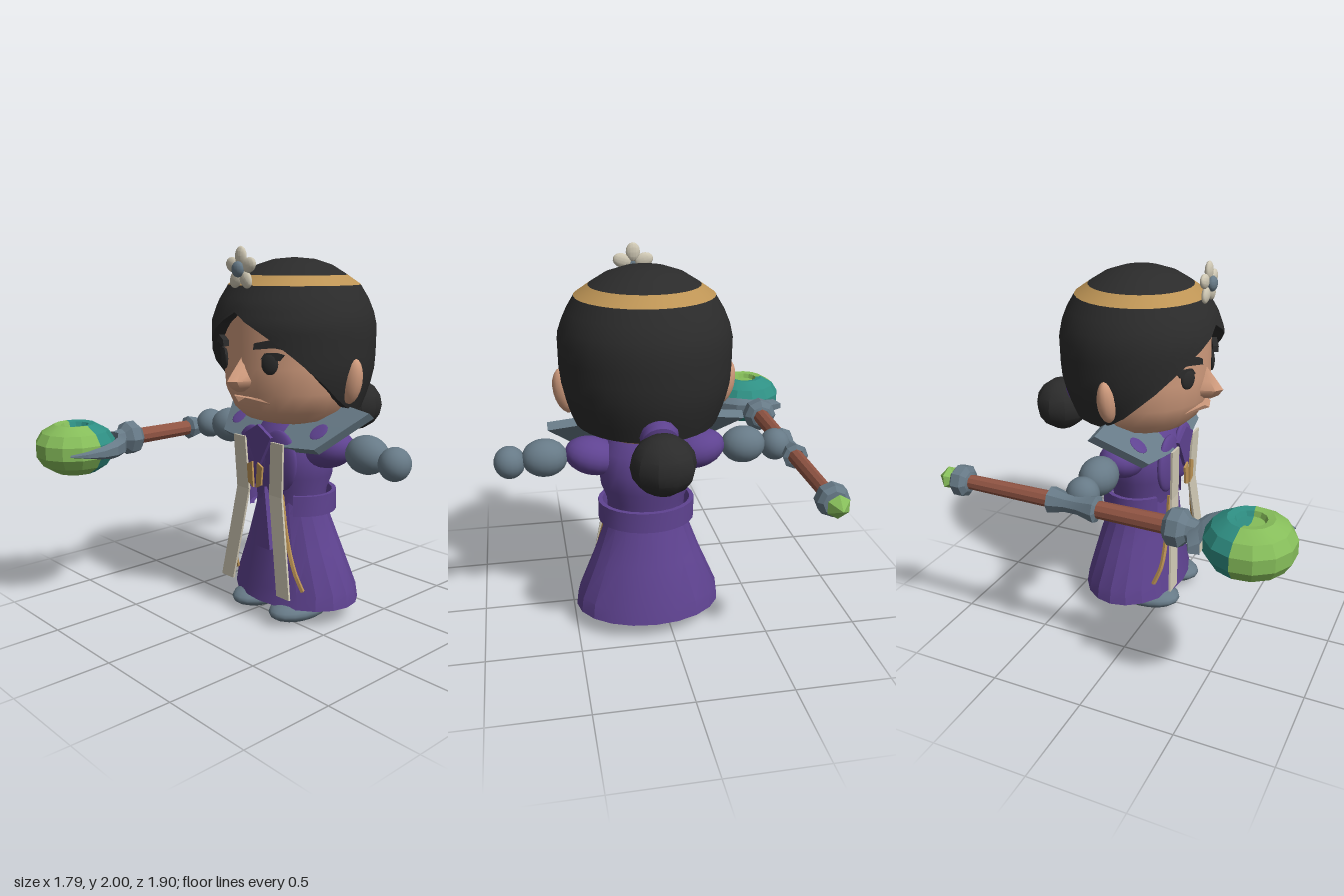
import * as THREE from 'three';
import { toCreasedNormals } from 'three/addons/utils/BufferGeometryUtils.js';
import { ConvexGeometry } from 'three/addons/geometries/ConvexGeometry.js';

const colours = {
  skin: 0xd09b7d, black: 0x2b2b2b, gold: 0xbd9455, purple: 0x5f4391, steel: 0x677a87,
  cream: 0xd0c9b5, green: 0x86bd5a, teal: 0x2f9084, wood: 0x905443,
};
const V = (x, y, z) => new THREE.Vector3(x, y, z);

// Surface through a list of point rings
function loft(rings, closed = true) {
  const n = rings[0].length, index = [];
  const pos = rings.flat().flatMap((p) => [p.x, p.y, p.z]);
  for (let i = 0; i < rings.length - 1; i++) {
    for (let j = 0; j < (closed ? n : n - 1); j++) {
      const k = (j + 1) % n, a = i * n, b = a + n;
      index.push(a + j, a + k, b + k, a + j, b + k, b + j);
    }
  }
  const g = new THREE.BufferGeometry();
  g.setAttribute('position', new THREE.Float32BufferAttribute(pos, 3));
  g.setIndex(index);
  return g;
}

// Elliptical rings from rows of [y, rx, rz, zCentre]
function ellipses(rows, seg = 24, from = 0, to = Math.PI * 2) {
  const full = to - from > 6.28, n = full ? seg : seg + 1;
  return loft(rows.map(([y, rx, rz, zc]) => Array.from({ length: n }, (_, j) => {
    const a = from + (to - from) * j / seg;
    return V(rx * Math.sin(a), y, zc + rz * Math.cos(a));
  })), full);
}

// Linear interpolation in a table of [key, value]
function lookup(table, k) {
  for (let i = 1; i < table.length; i++) {
    const [k0, v0] = table[i - 1], [k1, v1] = table[i];
    if (k <= k1) return v0 + (v1 - v0) * Math.max(0, (k - k0) / (k1 - k0));
  }
  return table[table.length - 1][1];
}

export function createModel() {
  const mats = {};
  for (const [name, color] of Object.entries(colours)) {
    mats[name] = new THREE.MeshStandardMaterial({ color, side: THREE.DoubleSide });
    mats[name].name = name;
  }
  const root = new THREE.Group();
  root.name = 'staffBearer';
  const body = new THREE.Group();
  body.name = 'body';
  body.position.x = 0.1;
  root.add(body);

  const add = (parent, name, mat, geo, crease = 0.6) => {
    const m = new THREE.Mesh(toCreasedNormals(geo, crease), mats[mat]);
    m.name = name;
    parent.add(m);
    return m;
  };
  const ball = (name, mat, p, r, w = 18, h = 12, parent = body) => {
    const m = add(parent, name, mat, new THREE.SphereGeometry(1, w, h));
    m.position.set(...p);
    m.scale.set(...r);
    return m;
  };
  // Convex slab: points plus the same points shifted
  const slab = (name, mat, pts, off) => {
    const p = pts.map((q) => V(...q));
    return add(body, name, mat, new ConvexGeometry([...p, ...p.map((q) => q.clone().add(V(...off)))]), 0.3);
  };
  const flat = (pts) => new THREE.Shape(pts.map(([x, y]) => new THREE.Vector2(x, y)));
  const plate = (name, mat, pts, depth) =>
    add(body, name, mat, new THREE.ExtrudeGeometry(flat(pts), { depth, bevelEnabled: false }), 0.3);

  // Head
  const HZ = -0.16;
  const headR = [[1.09, 0.18], [1.115, 0.26], [1.17, 0.32], [1.27, 0.365], [1.4, 0.375], [1.72, 0.375]];
  add(body, 'head', 'skin', ellipses([[1.085, 0, 0, HZ], ...headR.map(([y, r]) => [y, r, r, HZ])]));

  // Hair: lower edge sweeps from a centre peak down to the nape
  const hairR = [[1.16, 0.365], [1.28, 0.41], [1.4, 0.437], [1.62, 0.44], [1.72, 0.405], [1.81, 0.35]];
  const hairEdge = [[0, 1.68], [0.47, 1.57], [0.75, 1.48], [1.05, 1.37], [1.4, 1.24], [1.7, 1.17], [3.15, 1.16]];
  const hairRows = [];
  for (let i = -1; i <= 9; i++) {
    hairRows.push(Array.from({ length: 32 }, (_, j) => {
      const a = j * Math.PI / 16, e = lookup(hairEdge, Math.min(a, 2 * Math.PI - a));
      const y = e + (1.81 - e) * Math.max(i, 0) / 9;
      const r = i < 0 ? lookup(headR, y) - 0.02 : lookup(hairR, y);
      return V(r * Math.sin(a), y, HZ + r * Math.cos(a));
    }));
  }
  add(body, 'hair', 'black', loft(hairRows));
  add(body, 'headband', 'gold', ellipses([[1.81, 0.352, 0.352, HZ], [1.86, 0.28, 0.28, HZ]], 32));
  add(body, 'crown', 'black', ellipses([[1.86, 0.28], [1.91, 0.2], [1.94, 0.11], [1.95, 0]].map(([y, r]) => [y, r, r, HZ]), 32));

  // Bun and its tie
  const tie = add(body, 'bunTie', 'purple', new THREE.TorusGeometry(0.06, 0.035, 8, 14));
  tie.position.set(0, 1.21, -0.56);
  tie.rotation.x = -0.5;
  ball('bun', 'black', [0, 1.11, -0.67], [0.16, 0.15, 0.15], 10, 8);

  // Flower
  for (let i = 0; i < 5; i++) {
    const a = Math.PI / 2 + i * Math.PI * 0.4;
    const petal = ball('petal', 'cream', [0.062 * Math.cos(a), 1.892 + 0.062 * Math.sin(a), 0.215], [0.05, 0.038, 0.02], 12, 8);
    petal.rotation.z = a;
  }
  ball('flowerCentre', 'steel', [0, 1.89, 0.235], [0.04, 0.04, 0.025], 12, 8);

  // Nose and mouth
  add(body, 'nose', 'skin', loft([
    [1.275, 0.01, 0.24], [1.3, 0.055, 0.285], [1.335, 0.07, 0.31], [1.38, 0.045, 0.275], [1.45, 0.018, 0.215],
  ].map(([y, w, z]) => [V(-w, y, 0.17), V(-w * 0.6, y, z - 0.03), V(0, y, z), V(w * 0.6, y, z - 0.03), V(w, y, 0.17)]), false), 0.9);
  slab('mouth', 'skin', [[-0.17, 1.215, 0.13], [-0.15, 1.24, 0.14], [-0.04, 1.25, 0.225], [0.04, 1.25, 0.225],
    [0.15, 1.24, 0.14], [0.17, 1.215, 0.13], [0, 1.225, 0.235]], [0, 0, -0.04]);

  for (const s of [1, -1]) {
    // Face details
    const eye = ball('eye', 'black', [s * 0.172, 1.43, 0.178], [0.045, 0.056, 0.016], 16, 10);
    eye.rotation.y = s * 0.47;
    const lash = plate('eyelash', 'black', [[-0.05 * s, 0], [-0.03 * s, 0.03], [0.03 * s, 0.035], [0.075 * s, 0.025], [0.05 * s, -0.005]], 0.012);
    lash.position.set(s * 0.174, 1.452, 0.173);
    lash.rotation.y = s * 0.47;
    const brow = plate('eyebrow', 'black', [[-0.09 * s, -0.012], [-0.085 * s, 0.02], [0.02 * s, 0.042], [0.075 * s, 0.03], [0.1 * s, -0.012], [0.02 * s, 0]], 0.03);
    brow.position.set(s * 0.18, 1.512, 0.17);
    brow.rotation.y = s * 0.47;
    const ear = ball('ear', 'skin', [s * 0.41, 1.335, -0.165], [0.06, 0.12, 0.05], 14, 10);
    ear.rotation.z = -s * 0.2;

    // Arms
    const sleeve = ball('sleeve', 'purple', [s * 0.28, 0.965, -0.15], [0.15, 0.1, 0.12]);
    sleeve.rotation.z = s * 0.25;
    ball('forearm', 'steel', [s * 0.53, 0.975, -0.16], [0.12, 0.1, 0.1]);
    ball('hand', 'steel', [s * 0.71, 0.96, -0.155], [0.082, 0.086, 0.086]);

    // Legs and feet
    ball('leg', 'steel', [s * 0.15, 0.19, -0.17], [0.11, 0.14, 0.11]);
    ball('foot', 'steel', [s * 0.15, 0.067, -0.075], [0.127, 0.064, 0.205]);

    // Collar wing with a round spot
    slab('collarWing', 'steel', [[s * 0.1, 0.985, 0.085], [s * 0.35, 1.0, 0.04], [s * 0.51, 1.18, -0.19],
      [s * 0.3, 1.205, -0.2], [s * 0.1, 1.1, -0.05]], [0, -0.03, -0.04]);
    const spot = ball('collarSpot', 'purple', [s * 0.3, 1.075, -0.044], [0.053, 0.055, 0.006], 16, 8);
    spot.rotation.x = -0.89;

    // Robe front, cream stole and gold trim behind it
    ball('lapel', 'purple', [s * 0.1, 0.9, 0.04], [0.13, 0.165, 0.035]);
    const rows = [[0.1, 0.19, 1.01, 0.105], [0.08, 0.175, 0.72, 0.095], [0.175, 0.27, 0.19, 0.13]];
    for (let i = 0; i < 2; i++) {
      const [a, b, y, z] = rows[i], [c, d, y2, z2] = rows[i + 1];
      slab('stole', 'cream', [[s * a, y, z], [s * b, y, z], [s * d, y2, z2], [s * c, y2, z2]], [0, 0, -0.012]);
    }
    const trim = new THREE.CatmullRomCurve3([V(s * 0.15, 0.73, 0.07), V(s * 0.19, 0.5, 0.07), V(s * 0.24, 0.32, 0.06), V(s * 0.26, 0.21, 0.02)]);
    add(body, 'robeTrim', 'gold', new THREE.TubeGeometry(trim, 10, 0.013, 5));
    const tassel = plate('tassel', 'gold', [[-0.015 * s, 0.07], [0.025 * s, 0.05], [0.015 * s, -0.05], [-0.025 * s, -0.07]], 0.012);
    tassel.position.set(s * 0.035, 0.82, 0.115);
  }

  // Robe
  add(body, 'torso', 'purple', ellipses([[0.55, 0.2, 0.16, -0.15], [0.72, 0.21, 0.18, -0.15], [0.8, 0.24, 0.21, -0.15],
    [0.9, 0.25, 0.22, -0.15], [1.0, 0.23, 0.2, -0.15], [1.07, 0.17, 0.16, -0.15], [1.12, 0.12, 0.12, -0.15]]));
  add(body, 'skirt', 'purple', ellipses([[0.1, 0.395, 0.285, -0.19], [0.18, 0.385, 0.27, -0.19], [0.4, 0.29, 0.225, -0.175],
    [0.6, 0.215, 0.18, -0.155], [0.7, 0.2, 0.17, -0.15]], 20), 0.3);
  add(body, 'belt', 'purple', ellipses([[0.6, 0.235, 0.195, -0.16], [0.6, 0.258, 0.22, -0.16],
    [0.71, 0.258, 0.22, -0.16], [0.71, 0.235, 0.195, -0.16]], 20, 0.72, Math.PI * 2 - 0.72), 0.5);
  slab('frontPleat', 'purple', [[0, 0.74, 0.055], [-0.06, 0.4, 0.07], [0.06, 0.4, 0.07]], [0, 0, -0.04]);
  const kite = plate('neckFold', 'purple', [[0, 1.09], [-0.1, 1.03], [0, 0.85], [0.1, 1.03]], 0.02);
  kite.position.z = 0.085;

  // Staff, lying along z
  const staff = new THREE.Group();
  staff.name = 'staff';
  staff.position.set(-0.685, 0.935, 0);
  root.add(staff);
  const turned = (name, mat, pts, seg = 8) => add(staff, name, mat,
    new THREE.LatheGeometry(pts.map(([r, z]) => new THREE.Vector2(r, z)), seg).rotateX(Math.PI / 2), 0.3);
  turned('shaft', 'wood', [[0.038, -0.8], [0.047, 0.35]], 10);
  turned('grip', 'steel', [[0.045, -0.3], [0.07, -0.29], [0.048, -0.2], [0.048, -0.13], [0.07, -0.04], [0.045, -0.03]]);
  turned('frontCollar', 'steel', [[0.05, 0.32], [0.065, 0.325], [0.095, 0.355], [0.095, 0.41], [0.06, 0.44], [0.05, 0.49], [0, 0.49]]);
  turned('rearCollar', 'steel', [[0, -0.865], [0.06, -0.86], [0.083, -0.84], [0.083, -0.79], [0.055, -0.77], [0.04, -0.765]]);
  turned('tipGem', 'green', [[0, -0.96], [0.062, -0.9], [0, -0.84]], 6);

  // Orb with a dished top, teal at the rear
  const orb = [[0, 0.8], [0.11, 0.8], [0.18, 0.845], [0.215, 0.9], [0.215, 0.97], [0.18, 1.025], [0.11, 1.065], [0.075, 1.06], [0.065, 1.035], [0, 1.035]]
    .map(([r, y]) => new THREE.Vector2(r, y - 0.935));
  const split = 1.7;
  for (const [name, mat, from, len, seg] of [['orbFront', 'green', -split, 2 * split, 7], ['orbRear', 'teal', split, 2 * Math.PI - 2 * split, 6]]) {
    add(staff, name, mat, new THREE.LatheGeometry(orb, seg, from, len), 0.3).position.z = 0.735;
  }

  // Claw curving round the orb to a point
  const heights = [[0, 0.004], [0.35, 0.045], [0.6, 0.06], [0.8, 0.05], [1, 0.03]];
  const claw = Array.from({ length: 9 }, (_, i) => {
    const t = i / 8, a = 0.94 + t * 2.85, h = lookup(heights, t);
    const p = (r, y) => V(r * Math.sin(a), y, 0.735 + r * Math.cos(a));
    return [p(0.235, h), p(0.29 - 0.03 * (1 - t), h * 0.5), p(0.29 - 0.03 * (1 - t), -h * 0.5), p(0.235, -h)];
  });
  claw.push(claw[8].map(() => claw[8][0].clone().add(claw[8][3]).multiplyScalar(0.5)));
  add(staff, 'claw', 'steel', loft(claw), 0.3);

  return root;
}
